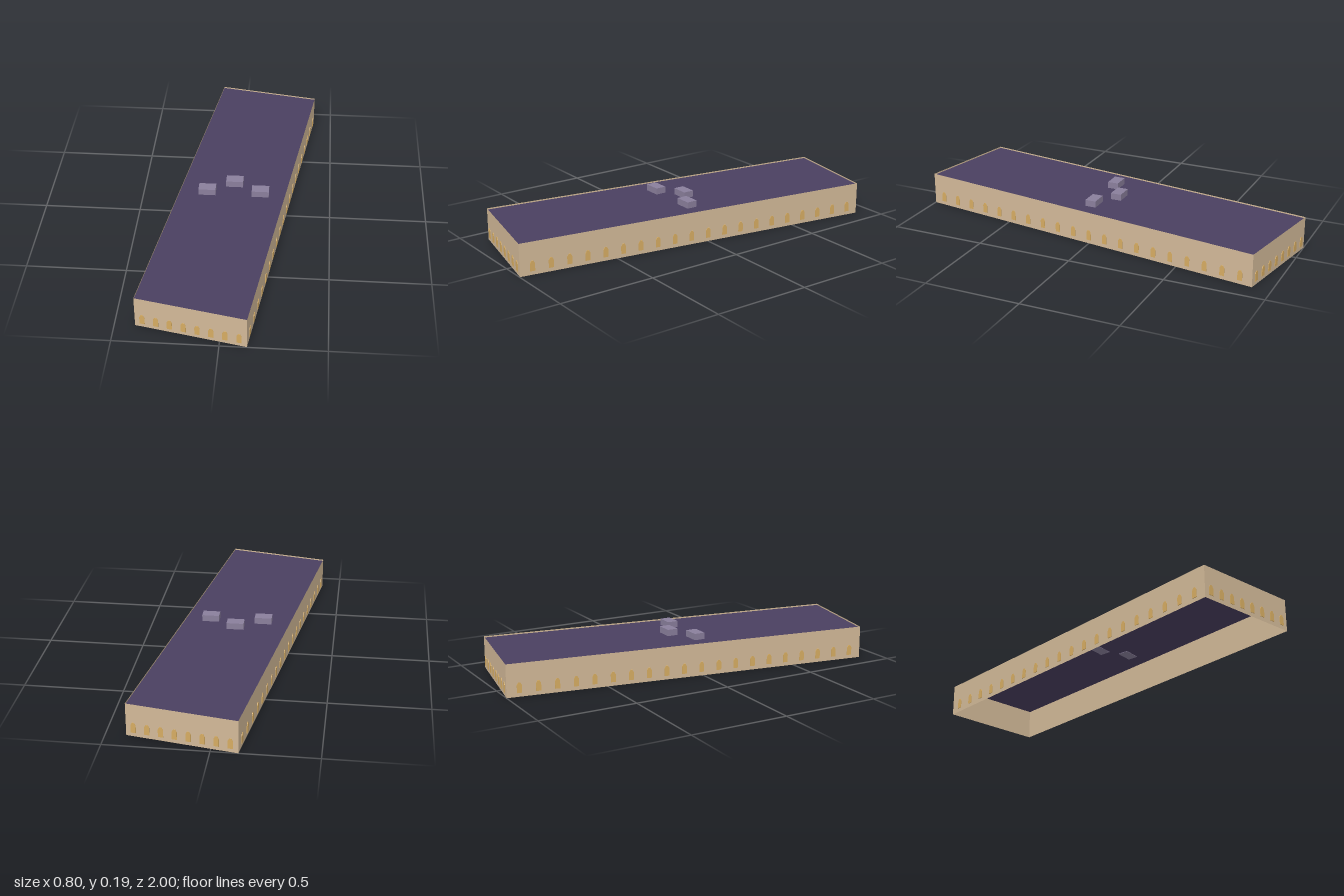
import * as THREE from 'three';

export function createModel() {
  const group = new THREE.Group();
  const material = (name, color, side = THREE.FrontSide) => {
    const m = new THREE.MeshStandardMaterial({ color, side });
    m.name = name;
    return m;
  };
  const stone = material('sandstone', 0xd2b998, THREE.DoubleSide);
  const slate = material('purple slate', 0x4a3f60, THREE.DoubleSide);
  const metal = material('pale violet metal', 0x8a7f9c);
  const gold = material('golden glass', 0xd6ac62);

  const add = (parent, name, geometry, mat, x, y, z) => {
    const mesh = new THREE.Mesh(geometry, mat);
    mesh.name = name;
    mesh.position.set(x, y, z);
    parent.add(mesh);
    return mesh;
  };

  const HEIGHT = 0.167, ROOF = 0.16;
  // Skewed footprint as [x, z], running front-left round to the back
  const corners = [[-0.402, 0.888], [0.128, 0.998], [0.402, -0.905], [-0.128, -1]];

  // Window with sloping shoulders and a narrow flat head
  const windowShape = new THREE.Shape([
    [-0.0125, 0.02], [0.0125, 0.02], [0.0125, 0.059],
    [0.005, 0.072], [-0.005, 0.072], [-0.0125, 0.059],
  ].map(([x, y]) => new THREE.Vector2(x, y)));
  const windowGeometry = new THREE.ExtrudeGeometry(windowShape, { depth: 0.003, bevelEnabled: false });

  // Four open-bottomed walls, each with a row of windows on its outer face
  const facades = [['front', 8, 0.068], ['right', 20, 0.033], ['back', 8, 0.068], ['left', 20, 0.033]];
  facades.forEach(([side, count, margin], i) => {
    const [px, pz] = corners[i];
    const [qx, qz] = corners[(i + 1) % 4];
    const length = Math.hypot(qx - px, qz - pz);
    const facade = new THREE.Group();
    facade.name = side + 'Facade';
    facade.position.set(px, 0, pz);
    facade.rotation.y = -Math.atan2(qz - pz, qx - px);
    add(facade, side + 'Wall', new THREE.PlaneGeometry(length, HEIGHT), stone, length / 2, HEIGHT / 2, 0);
    for (let n = 0; n < count; n++) {
      const t = margin + (1 - 2 * margin) * n / (count - 1);
      add(facade, side + 'Window', windowGeometry, gold, t * length, 0, 0.001);
    }
    group.add(facade);
  });

  // Flat roof just below the wall tops
  const roofShape = new THREE.Shape(corners.map(([x, z]) => new THREE.Vector2(x, -z)));
  add(group, 'roof', new THREE.ShapeGeometry(roofShape).rotateX(-Math.PI / 2), slate, 0, ROOF, 0);

  // Three rooftop units
  const unit = new THREE.BoxGeometry(0.088, 0.035, 0.056);
  for (const [x, z] of [[-0.137, 0.033], [0, -0.046], [0.137, 0.033]]) {
    add(group, 'rooftopUnit', unit, metal, x, 0.1755, z);
  }
  return group;
}
